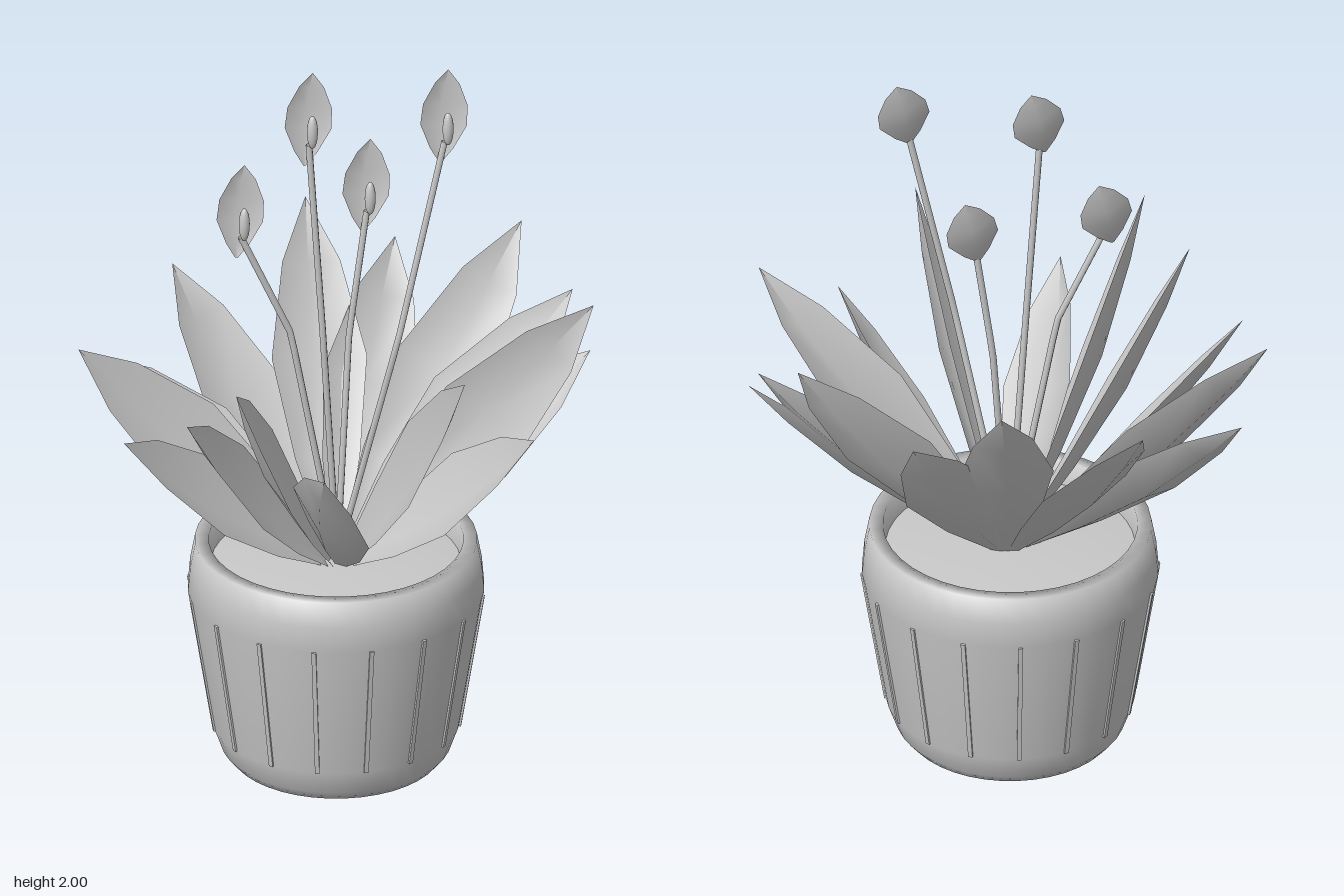
import * as THREE from 'three';

const V = (x, y, z) => new THREE.Vector3(x, y, z);

// Cupped blade: rows of three points (edge, midrib, edge) along a bowed line
function blade(base, tip, side, up, rows, bow, cup) {
  const pos = [], idx = [];
  rows.forEach(([t, half], i) => {
    const mid = base.clone().lerp(tip, t).addScaledVector(up, -bow * Math.sin(Math.PI * t));
    for (const s of [-1, 0, 1]) {
      const p = mid.clone().addScaledVector(side, s * half);
      p.addScaledVector(up, (s ? 1 : -1) * cup * half);
      pos.push(p.x, p.y, p.z);
    }
    if (i) {
      for (let k = 0; k < 2; k++) {
        const a = (i - 1) * 3 + k, b = a + 3;
        idx.push(a, a + 1, b, a + 1, b + 1, b);
      }
    }
  });
  const g = new THREE.BufferGeometry();
  g.setAttribute('position', new THREE.Float32BufferAttribute(pos, 3));
  g.setIndex(idx);
  g.computeVertexNormals();
  return g;
}

export function createModel() {
  const grey = new THREE.MeshStandardMaterial({ color: 0xc8c8c8, side: THREE.DoubleSide });
  grey.name = 'light grey';
  const model = new THREE.Group();
  model.name = 'pottedPlant';

  const add = (name, geometry, parent) => {
    const m = new THREE.Mesh(geometry, grey);
    m.name = name;
    parent.add(m);
    return m;
  };
  const group = (name) => {
    const g = new THREE.Group();
    g.name = name;
    model.add(g);
    return g;
  };

  // Pot: one smooth shell from the base over the rim to the inner wall
  const pot = group('pot');
  pot.position.set(-0.005, 0, 0.008);
  const lathe = (name, pts) =>
    add(name, new THREE.LatheGeometry(pts.map(([r, y]) => new THREE.Vector2(r, y)), 40), pot);
  lathe('potShell', [[0, 0], [0.28, 0], [0.305, 0.03], [0.33, 0.1], [0.393, 0.49], [0.387, 0.56],
    [0.374, 0.63], [0.337, 0.63], [0.33, 0.55]]);
  lathe('soil', [[0.332, 0.56], [0.2, 0.575], [0, 0.58]]);

  // Thin ribs down the pot wall
  for (let i = 0; i < 16; i++) {
    const pivot = new THREE.Group();
    pivot.name = 'ribPivot';
    pivot.rotation.y = (i * Math.PI) / 8;
    pot.add(pivot);
    const rib = add('potRib', new THREE.BoxGeometry(0.012, 0.395, 0.009), pivot);
    rib.position.set(0, 0.295, 0.3615);
    rib.rotation.x = Math.atan2(0.063, 0.39);
  }

  // Leaves: golden-angle rosette in three heights; roll in degrees raises the left edge
  const leaves = group('leaves');
  const rolls = [28, -48, 10, 40, -48, 42, -38, -3, 77, -35, 28, 62, -42, 40, -58];
  const leafRows = [[0, 0.02], [0.27, 0.09], [0.55, 0.132], [0.82, 0.08], [1, 0]];
  rolls.forEach((deg, i) => {
    const a = THREE.MathUtils.degToRad(i * 137.5);
    const tip = V(0.69 * Math.cos(a), 1.1 + 0.12 * (i % 3), 0.595 * Math.sin(a));
    const base = V(0.03 * Math.cos(a), 0.565, 0.03 * Math.sin(a));
    const dir = tip.clone().sub(base).normalize();
    const side = V(0, 1, 0).cross(dir).normalize().applyAxisAngle(dir, THREE.MathUtils.degToRad(deg));
    const up = dir.clone().cross(side).normalize();
    add('leaf', blade(base, tip, side, up, leafRows, 0.02, 0.19), leaves);
  });

  // Flowers: bent stem, leaning hood and a small central spike
  const flowers = group('flowers');
  const hoodRows = [[0, 0.004], [0.15, 0.035], [0.4, 0.07], [0.62, 0.067], [0.85, 0.037], [1, 0]];
  const stems = [
    [V(-0.13, 1.26, 0.015), V(-0.265, 1.56, 0.01)],
    [V(-0.05, 1.27, 0.043), V(-0.088, 1.83, 0.045)],
    [V(0.045, 1.2, -0.052), V(0.095, 1.56, -0.058)],
    [V(0.14, 1.26, 0.112), V(0.265, 1.83, 0.112)],
  ];
  for (const [bend, end] of stems) {
    const path = new THREE.CurvePath();
    path.add(new THREE.LineCurve3(V(0, 0.57, 0), bend));
    path.add(new THREE.LineCurve3(bend, end));
    add('flowerStem', new THREE.TubeGeometry(path, 16, 0.009, 8), flowers);

    const base = end.clone().add(V(-0.012, -0.06, 0));
    const tip = end.clone().add(V(0.03, 0.17, -0.08));
    const dir = tip.clone().sub(base).normalize();
    const side = V(0.96, 0, -0.26);
    side.addScaledVector(dir, -side.dot(dir)).normalize();
    const up = side.clone().cross(dir).normalize();
    add('flowerHood', blade(base, tip, side, up, hoodRows, 0.01, 0.15), flowers);

    const spike = add('flowerSpike', new THREE.SphereGeometry(0.015, 12, 10), flowers);
    spike.scale.y = 3.2;
    spike.position.copy(end).add(V(0.005, 0.045, 0.018));
  }
  return model;
}
